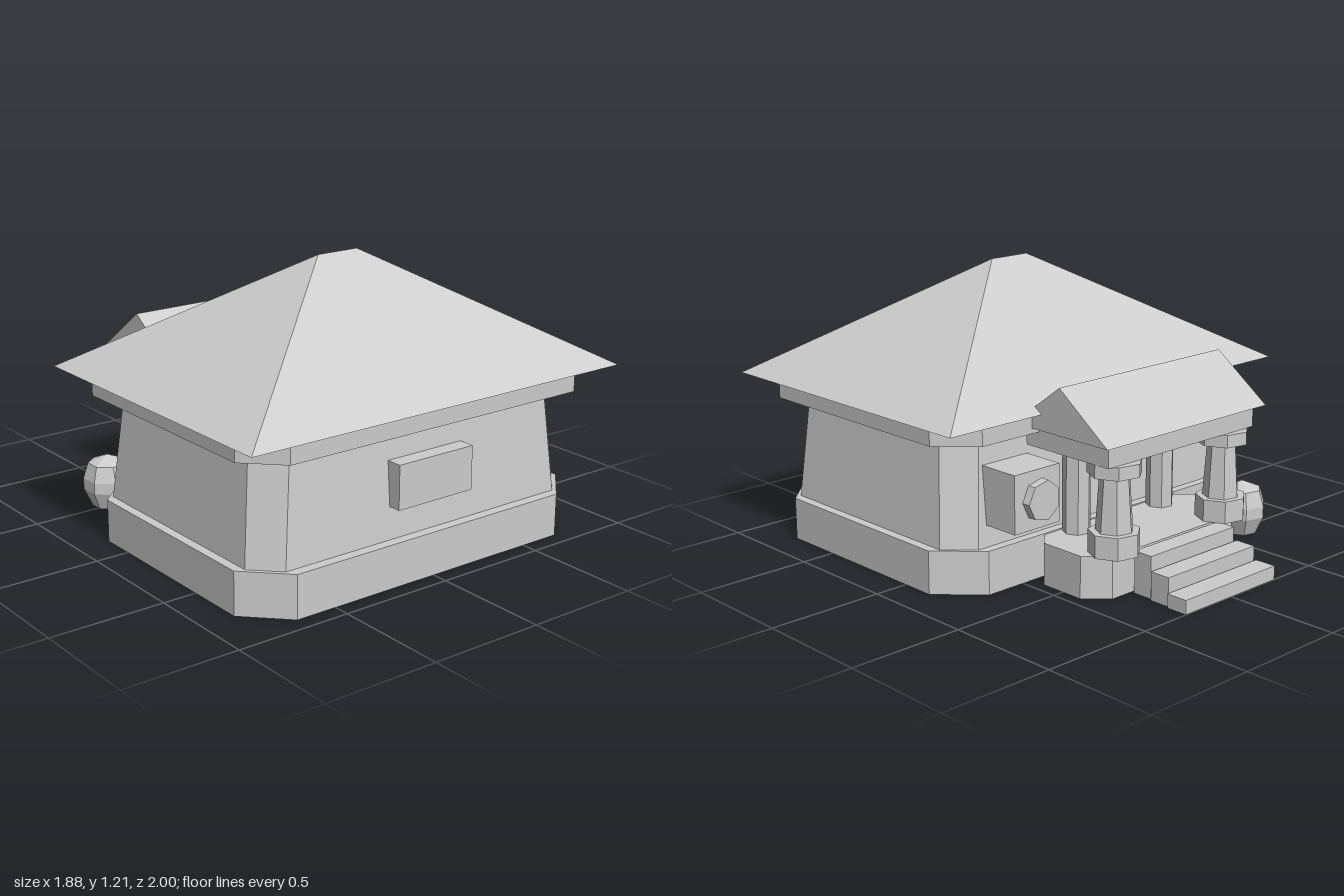
import * as THREE from 'three';

const stone = new THREE.MeshStandardMaterial({ color: 0xcccccc, side: THREE.DoubleSide, flatShading: true });
stone.name = 'pale grey stone';

// Rectangle with clipped corners, in the same turning order as rectRing
function clippedRing(y, hx, z0, z1, c) {
  return [
    [hx, z0 + c], [hx - c, z0], [-hx + c, z0], [-hx, z0 + c],
    [-hx, z1 - c], [-hx + c, z1], [hx - c, z1], [hx, z1 - c],
  ].map(([x, z]) => [x, y, z]);
}

function rectRing(y, hx, z0, z1) {
  return [[hx, y, z0], [-hx, y, z0], [-hx, y, z1], [hx, y, z1]];
}

// Solid between two matching rings, with or without an underside
function loft(bottom, top, closed = true) {
  const n = bottom.length, index = [];
  for (let i = 0; i < n; i++) {
    const j = (i + 1) % n;
    index.push(i, j, n + j, i, n + j, n + i);
  }
  for (let i = 1; i < n - 1; i++) {
    index.push(n, n + i, n + i + 1);
    if (closed) index.push(0, i + 1, i);
  }
  const geo = new THREE.BufferGeometry();
  geo.setAttribute('position', new THREE.Float32BufferAttribute([...bottom, ...top].flat(), 3));
  geo.setIndex(index);
  const flat = geo.toNonIndexed();
  flat.computeVertexNormals();
  return flat;
}

function add(parent, name, geo, x = 0, y = 0, z = 0) {
  const mesh = new THREE.Mesh(geo, stone);
  mesh.name = name;
  mesh.position.set(x, y, z);
  parent.add(mesh);
  return mesh;
}

// Box given by its limits
function block(parent, name, x0, x1, y0, y1, z0, z1) {
  return add(parent, name, new THREE.BoxGeometry(x1 - x0, y1 - y0, z1 - z0),
    (x0 + x1) / 2, (y0 + y1) / 2, (z0 + z1) / 2);
}

// Seven-sided drum between two heights, one corner pointing to +x
function drum(parent, name, rTop, rBottom, y0, y1) {
  const geo = new THREE.CylinderGeometry(rTop, rBottom, y1 - y0, 7).rotateY(Math.PI / 2);
  return add(parent, name, geo, 0, (y0 + y1) / 2, 0);
}

export function createModel() {
  const house = new THREE.Group();
  house.name = 'house';

  // Main building; the foundation is open underneath
  add(house, 'foundation', loft(clippedRing(0, 0.853, -0.32, 0.93, 0.17), clippedRing(0.185, 0.853, -0.32, 0.93, 0.17), false));
  add(house, 'walls', loft(clippedRing(0.185, 0.813, -0.28, 0.885, 0.11), clippedRing(0.633, 0.77, -0.24, 0.85, 0.11)));
  add(house, 'cornice', loft(clippedRing(0.633, 0.877, -0.345, 0.953, 0.145), clippedRing(0.722, 0.877, -0.345, 0.953, 0.145)));
  add(house, 'mainRoof', loft(rectRing(0.722, 0.94, -0.4, 1), rectRing(1.207, 0.1, 0.302, 0.302)));
  block(house, 'frontWindow', -0.19, 0.19, 0.32, 0.507, 0.82, 0.93);

  // Window beside the porch, with a seven-sided boss
  block(house, 'backWindowFrame', 0.41, 0.652, 0.275, 0.52, -0.44, -0.22);
  const boss = new THREE.CylinderGeometry(0.085, 0.085, 0.06, 7).rotateY(Math.PI / 2).rotateX(Math.PI / 2);
  add(house, 'backWindowBoss', boss, 0.525, 0.3975, -0.448);

  // Porch
  const porch = new THREE.Group();
  porch.name = 'porch';
  house.add(porch);
  add(porch, 'porchFloor', loft(clippedRing(0, 0.45, -0.69, -0.3, 0.09), clippedRing(0.18, 0.45, -0.69, -0.3, 0.09), false));
  block(porch, 'porchBeam', -0.43, 0.43, 0.565, 0.656, -0.73, -0.27);
  add(porch, 'porchRoof', loft(rectRing(0.656, 0.47, -0.765, -0.235), rectRing(0.85, 0.47, -0.5, -0.5)));

  // Front columns and slimmer door posts on both sides
  for (const side of [-1, 1]) {
    const column = new THREE.Group();
    column.name = side > 0 ? 'leftColumn' : 'rightColumn';
    column.position.set(side * 0.32, 0, -0.66);
    porch.add(column);
    drum(column, 'columnBase', 0.108, 0.108, 0.18, 0.275);
    drum(column, 'columnShaft', 0.062, 0.078, 0.275, 0.51);
    drum(column, 'columnCapital', 0.113, 0.113, 0.51, 0.565);

    const post = new THREE.Group();
    post.name = side > 0 ? 'leftDoorPost' : 'rightDoorPost';
    post.position.set(side * 0.25, 0, -0.375);
    porch.add(post);
    drum(post, 'doorPostShaft', 0.06, 0.06, 0.18, 0.55);
    drum(post, 'doorPostCap', 0.067, 0.067, 0.55, 0.565);
  }

  // Steps, open underneath and widening slightly towards the ground
  [[0.25, 0.18, -0.795, -0.705], [0.26, 0.122, -0.898, -0.805], [0.27, 0.06, -1, -0.903]]
    .forEach(([hx, h, z0, z1]) => add(porch, 'step', loft(rectRing(0, hx, z0, z1), rectRing(h, hx, z0, z1), false)));

  // Round-bellied barrel with a low pointed lid
  const profile = [[0, 0], [0.07, 0], [0.107, 0.08], [0.107, 0.13], [0.085, 0.2], [0, 0.235]]
    .map(([r, y]) => new THREE.Vector2(r, y));
  add(house, 'barrel', new THREE.LatheGeometry(profile, 7), -0.632, 0, -0.518).rotation.y = Math.PI / 2;

  return house;
}
